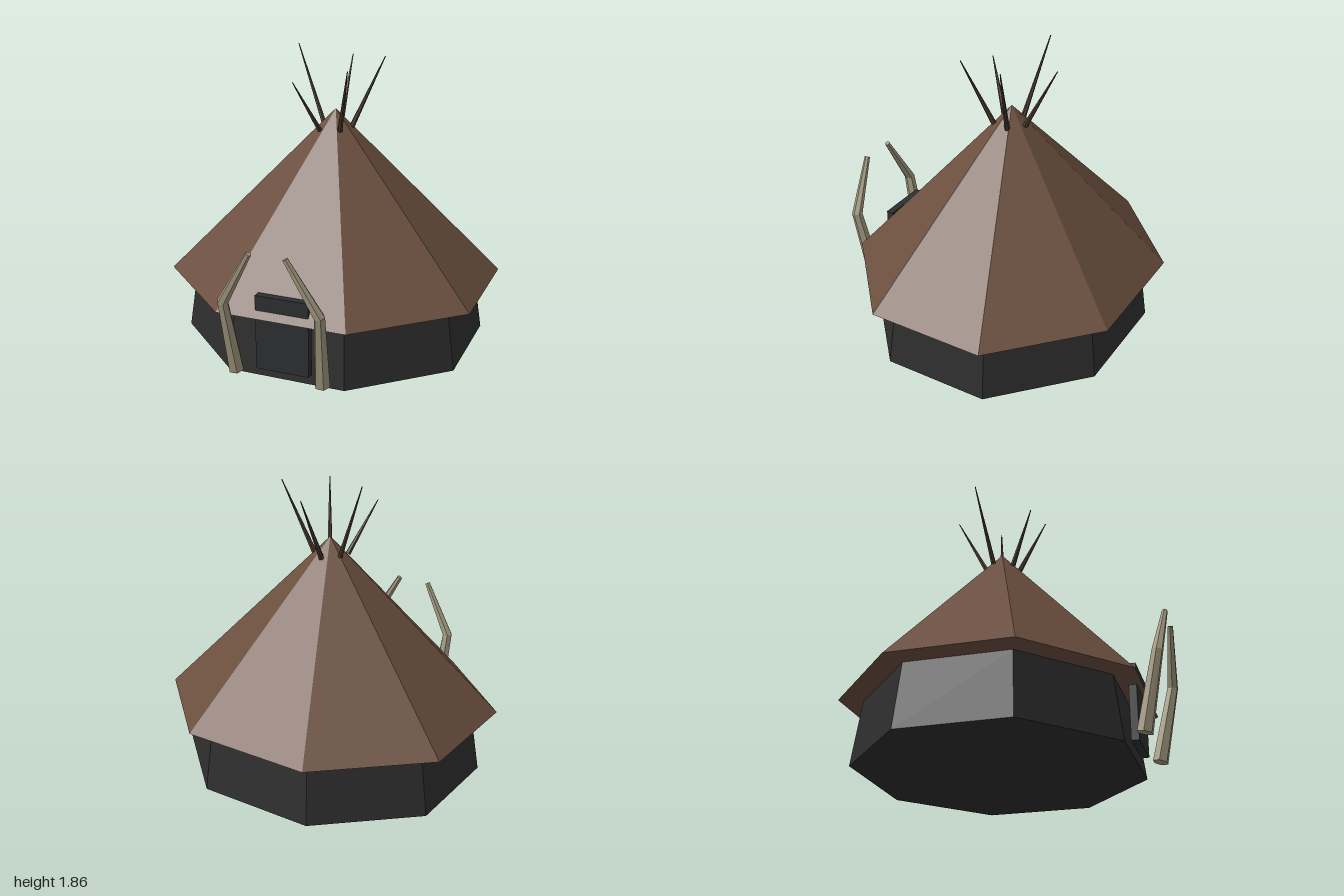
import * as THREE from 'three';

const mat = (name, color) => {
  const m = new THREE.MeshStandardMaterial({ color, flatShading: true });
  m.name = name;
  return m;
};
const V = (x, y, z) => new THREE.Vector3(x, y, z);

const CENTRE_Z = -0.085;
const DEPTH = 0.905; // the octagon is slightly shallower than wide

// Eight-sided body with flat faces towards front and sides; sizes are half widths
function octagon(topHalf, bottomHalf, y0, y1) {
  const k = 1 / Math.cos(Math.PI / 8);
  const g = new THREE.CylinderGeometry(topHalf * k, bottomHalf * k, y1 - y0, 8, 1, false, Math.PI / 8);
  g.scale(1, 1, DEPTH);
  g.translate(0, (y0 + y1) / 2, CENTRE_Z);
  return g;
}

// Tapered stick following a few points, with closed ends
function taperedSweep(points, radii, sides) {
  const rings = points.map((p, i) => {
    const t = V(0, 0, 0);
    if (i > 0) t.add(p.clone().sub(points[i - 1]).normalize());
    if (i < points.length - 1) t.add(points[i + 1].clone().sub(p).normalize());
    t.normalize();
    const u = V(0, 0, 1).cross(t).normalize();
    const v = t.clone().cross(u);
    return Array.from({ length: sides }, (_, k) => {
      const a = (k / sides) * Math.PI * 2;
      return p.clone()
        .addScaledVector(u, Math.cos(a) * radii[i])
        .addScaledVector(v, Math.sin(a) * radii[i]);
    });
  });
  const pos = [];
  const tri = (a, b, c) => [a, b, c].forEach((q) => pos.push(q.x, q.y, q.z));
  const last = rings.length - 1;
  for (let k = 0; k < sides; k++) {
    const n = (k + 1) % sides;
    for (let i = 0; i < last; i++) {
      tri(rings[i][k], rings[i][n], rings[i + 1][n]);
      tri(rings[i][k], rings[i + 1][n], rings[i + 1][k]);
    }
    tri(points[0], rings[0][n], rings[0][k]);
    tri(points[last], rings[last][k], rings[last][n]);
  }
  const g = new THREE.BufferGeometry();
  g.setAttribute('position', new THREE.Float32BufferAttribute(pos, 3));
  g.computeVertexNormals();
  return g;
}

export function createModel() {
  const hide = mat('brown hide', 0x6b4f3f);
  const wallDark = mat('charcoal wall', 0x2e2e2e);
  const doorDark = mat('dark door', 0x2d2f30);
  const wood = mat('dark wood', 0x4a3a2e);
  const ivory = mat('ivory', 0x9f967c);

  const model = new THREE.Group();
  model.name = 'hut';
  const add = (name, geometry, material) => {
    const mesh = new THREE.Mesh(geometry, material);
    mesh.name = name;
    model.add(mesh);
    return mesh;
  };

  // Leaning walls and overhanging pointed roof
  add('walls', octagon(0.848, 0.907, 0, 0.412), wallDark);
  add('roof', octagon(0, 1, 0.41, 1.487), hide);

  // Door slab, its top edge pokes through the eave
  add('door', new THREE.BoxGeometry(0.34, 0.475, 0.047), doorDark).position.set(0, 0.308, 0.762);

  // Poles sticking out around the peak: foot, tip
  const poles = [
    [V(-0.083, 1.357, -0.112), V(-0.29, 1.86, -0.185)],
    [V(-0.07, 1.362, 0.008), V(-0.186, 1.687, 0.162)],
    [V(0, 1.37, -0.18), V(0, 1.775, -0.39)],
    [V(0.063, 1.37, 0.005), V(0.172, 1.783, 0.168)],
    [V(0.098, 1.372, -0.112), V(0.29, 1.82, -0.178)],
  ];
  poles.forEach((ends, i) => add(`roofPole${i + 1}`, taperedSweep(ends, [0.017, 0.003], 6), wood));

  // Bent tusks either side of the door
  for (const [name, s] of [['leftTusk', 1], ['rightTusk', -1]]) {
    const path = [V(s * 0.278, 0.07, 0.836), V(s * 0.302, 0.548, 0.936), V(s * 0.112, 0.885, 0.97)];
    add(name, taperedSweep(path, [0.049, 0.035, 0.018], 6), ivory);
  }

  return model;
}
